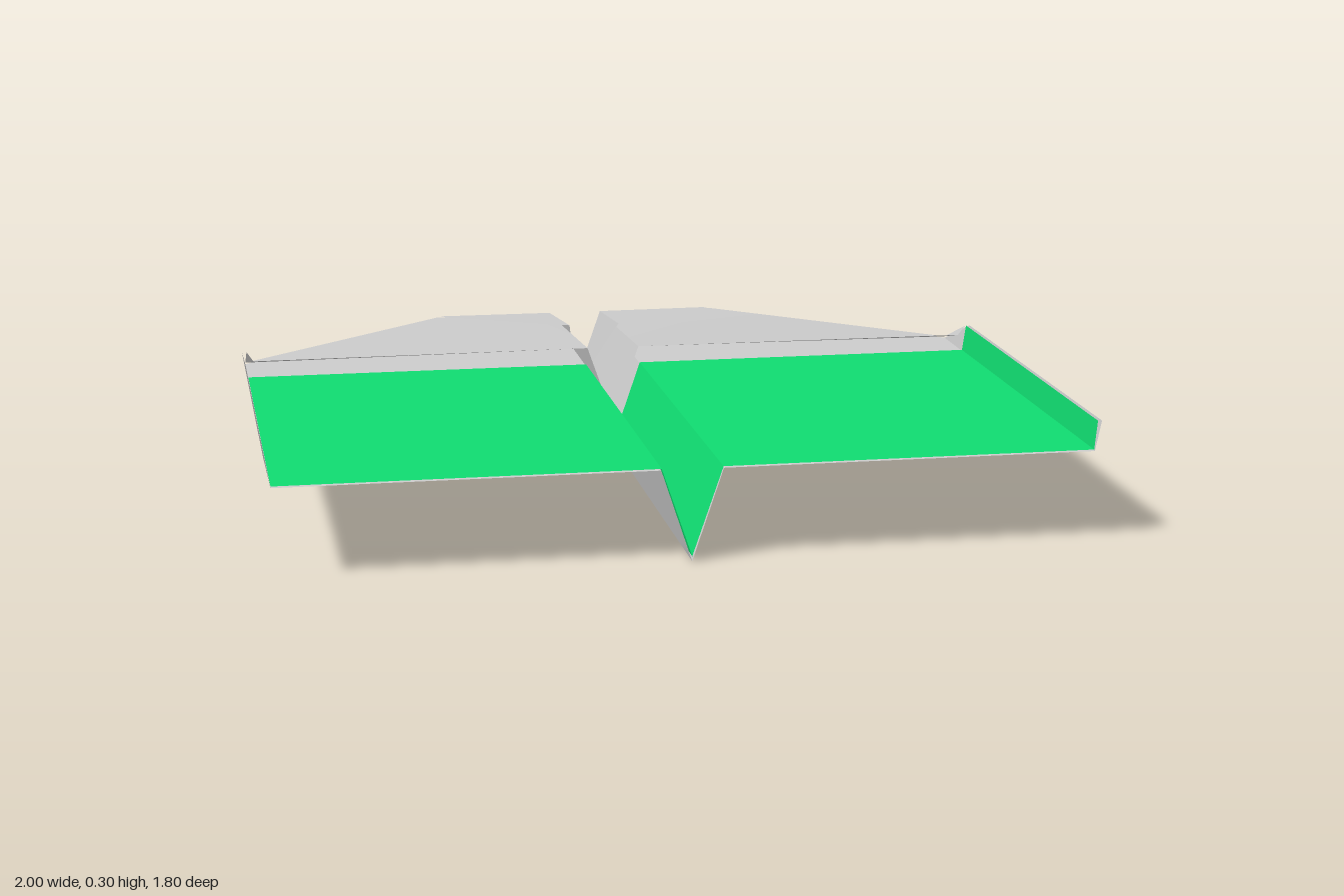
import * as THREE from 'three';

const paper = new THREE.MeshStandardMaterial({ color: 0xcccccc, side: THREE.DoubleSide });
const green = new THREE.MeshStandardMaterial({ color: 0x10db70, side: THREE.DoubleSide });

// Sheet of paper from a convex outline, fanned from its first corner with soft normals.
// Outlines are given for +x; the mirrored side also flips the winding.
function sheet(name, side, points, material) {
  const index = [];
  for (let i = 1; i < points.length - 1; i++) index.push(0, ...(side > 0 ? [i, i + 1] : [i + 1, i]));
  const geometry = new THREE.BufferGeometry();
  geometry.setAttribute('position',
    new THREE.Float32BufferAttribute(points.flatMap(([x, y, z]) => [x * side, y, z]), 3));
  geometry.setIndex(index);
  geometry.computeVertexNormals();
  const mesh = new THREE.Mesh(geometry, material);
  mesh.name = name;
  return mesh;
}

export function createModel() {
  const model = new THREE.Group();
  model.name = 'paperPlane';

  for (const side of [1, -1]) {
    const label = side > 0 ? 'left' : 'right';
    const add = (name, points, material = paper) => model.add(sheet(label + name, side, points, material));

    // Base sheet: wing, half of the V-shaped keel and upturned tip
    add('Wing', [[0.075, 0.225, 0.9], [0.985, 0.225, 0.9], [0.985, 0.225, -0.4],
      [0.405, 0.225, -0.905], [0.075, 0.225, -0.895]]);
    add('Keel', [[0, 0, 0.9], [0.075, 0.225, 0.9], [0.075, 0.225, -0.895], [0, 0, -0.895]]);
    add('Fin', [[0.985, 0.225, 0.9], [1, 0.3, 0.9], [1, 0.3, -0.21], [0.985, 0.225, -0.4]]);

    // Coloured inner face, ending at the fold
    add('WingLining', [[0.074, 0.229, 0.9], [0.985, 0.229, 0.9], [0.985, 0.229, -0.22], [0.074, 0.229, -0.22]], green);
    add('KeelLining', [[0, 0.012, 0.9], [0.074, 0.229, 0.9], [0.074, 0.229, -0.22], [0, 0.012, -0.22]], green);
    if (side > 0) {
      add('FinLining', [[0.983, 0.228, 0.9], [0.99, 0.3, 0.9], [0.99, 0.3, -0.21], [0.983, 0.228, -0.22]], green);
    }

    // Folded layer, lifted along its open edge and meeting the base at the nose
    add('FoldWing', [[0.07, 0.274, -0.22], [0.97, 0.272, -0.22], [0.985, 0.229, -0.4],
      [0.405, 0.229, -0.905], [0.075, 0.229, -0.895]]);
    add('FoldKeel', [[0, 0.075, -0.22], [0.07, 0.274, -0.22], [0.075, 0.229, -0.895], [0, 0.012, -0.895]]);
    add('FoldFin', [[0.97, 0.272, -0.22], [0.988, 0.3, -0.21], [0.985, 0.229, -0.4]]);

    // Second small fold at the nose
    add('FlapWing', [[0.07, 0.27, -0.54], [0.405, 0.232, -0.905], [0.075, 0.233, -0.895]]);
    add('FlapKeel', [[0.07, 0.27, -0.54], [0.075, 0.233, -0.895], [0, 0.018, -0.895], [0.015, 0.077, -0.78]]);
  }
  return model;
}
